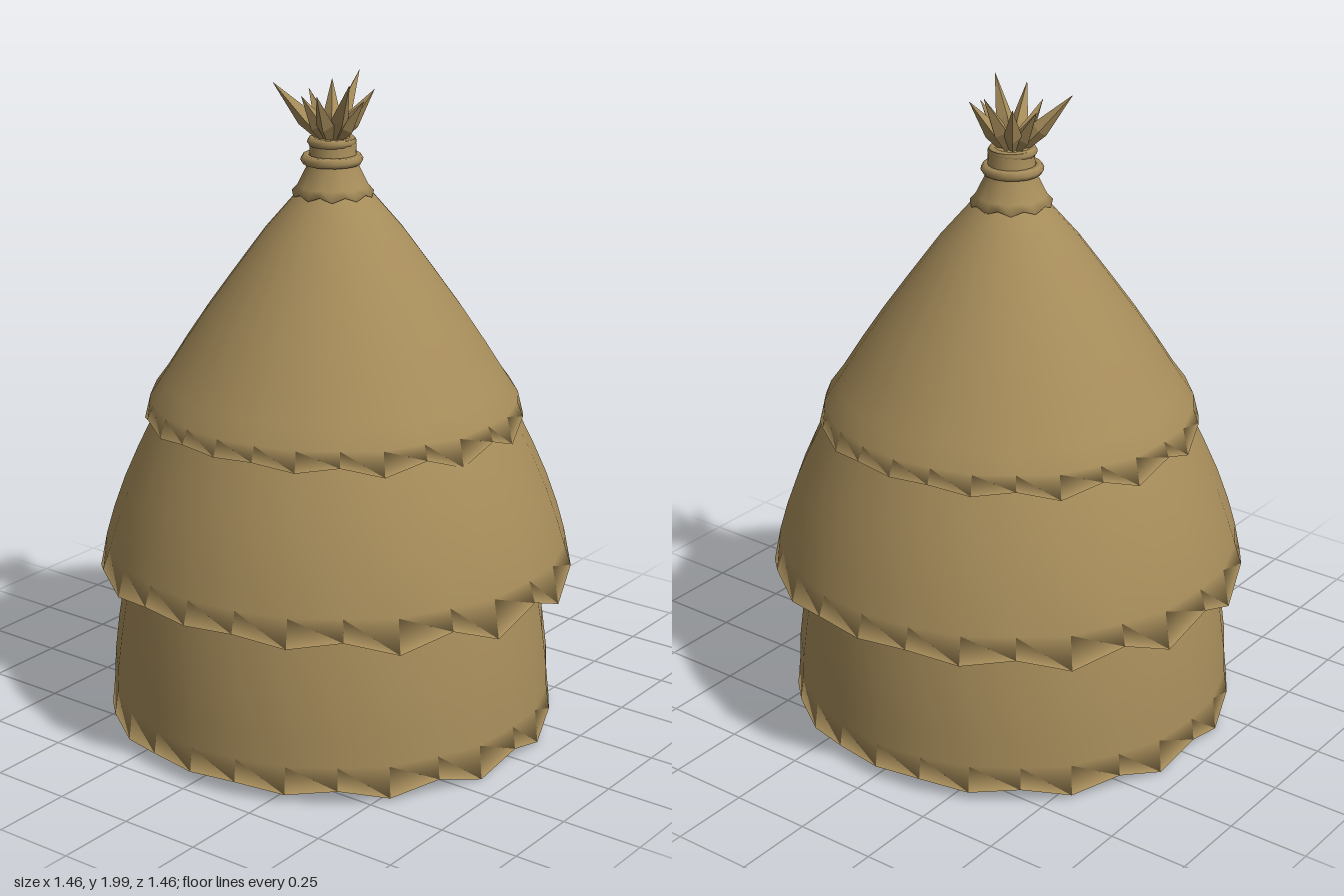
import * as THREE from 'three';

const straw = new THREE.MeshStandardMaterial({ color: 0xa68c5a });
straw.name = 'straw';

// Joins rings of [radius, height, toothDepth] from the top of the outside downwards,
// sharing corners so the surface shades smoothly. Odd corners hang lower as teeth.
function loft(profile, sides, depthAt = () => 1) {
  const pos = [], idx = [];
  for (const [r, y, tooth = 0] of profile) {
    for (let j = 0; j < sides; j++) {
      const a = (j / sides) * Math.PI * 2;
      const drop = j % 2 ? tooth * depthAt(a) : 0;
      pos.push(r * Math.cos(a), y - drop, r * Math.sin(a));
    }
  }
  for (let i = 0; i < profile.length - 1; i++) {
    for (let j = 0; j < sides; j++) {
      const k = (j + 1) % sides;
      const a = i * sides + j, b = i * sides + k, c = a + sides, d = b + sides;
      idx.push(a, b, c, b, d, c);
    }
  }
  const g = new THREE.BufferGeometry();
  g.setAttribute('position', new THREE.Float32BufferAttribute(pos, 3));
  g.setIndex(idx);
  g.computeVertexNormals();
  return g;
}

export function createModel() {
  const model = new THREE.Group();
  model.name = 'thatchedHut';
  const add = (name, geometry, x = 0, y = 0, z = 0, parent = model) => {
    const m = new THREE.Mesh(geometry, straw);
    m.name = name;
    m.position.set(x, y, z);
    parent.add(m);
    return m;
  };

  // Thatch tiers: teeth are deepest at the two sides, almost flat front and back.
  // Each goes down the outside, round a soft lip and back up the inside.
  const ragged = a => 0.15 + 0.85 * Math.abs(Math.cos(a)) ** 1.5;
  const tier = (name, outside, lip, inside, x, z) =>
    add(name, loft([...outside, lip, ...inside], 28, ragged), x, 0, z);
  tier('lowerThatch',
    [[0.53, 0.8], [0.60, 0.62], [0.632, 0.5], [0.661, 0.32], [0.676, 0.2], [0.68, 0.12, 0.008]],
    [0.69, 0.05, 0.045],
    [[0.65, 0.14, 0.01], [0.64, 0.24], [0.60, 0.5]], -0.005, 0.02);
  tier('middleThatch',
    [[0.41, 1.2], [0.50, 1.07], [0.55, 0.98], [0.604, 0.87], [0.648, 0.77], [0.684, 0.67],
      [0.709, 0.59, 0.01]],
    [0.73, 0.525, 0.065],
    [[0.68, 0.62, 0.01], [0.655, 0.68], [0.52, 0.76]], -0.005, -0.005);
  tier('upperThatch',
    [[0.08, 1.69], [0.12, 1.645], [0.21, 1.54], [0.312, 1.4], [0.387, 1.295], [0.457, 1.19],
      [0.52, 1.09], [0.56, 1.035, 0.008]],
    [0.578, 0.99, 0.048],
    [[0.53, 1.07, 0.01], [0.5, 1.11], [0.39, 1.18]], -0.015, -0.01);

  // Floor with a slightly flared edge meeting the thatch
  add('floor', loft([[0.64, 0.1], [0.612, 0.05], [0.6, 0.02], [0.0005, 0.02]], 28), -0.005, 0, 0.01);

  // Neck with a scalloped hem
  add('neck', loft([[0.068, 1.82], [0.07, 1.77], [0.08, 1.73], [0.105, 1.68, 0.004],
    [0.122, 1.662, 0.014], [0.1, 1.658, 0.01]], 20), -0.016, 0, -0.004);

  // Binding rings round the neck
  const rings = new THREE.Group();
  rings.name = 'bindings';
  model.add(rings);
  for (const [r, tube, y] of [[0.078, 0.016, 1.757], [0.06, 0.014, 1.81]]) {
    const g = new THREE.TorusGeometry(r, tube, 6, 16).rotateX(Math.PI / 2);
    add('binding', g, -0.017, y, 0, rings);
  }
  const cap = add('neckTop', new THREE.CircleGeometry(0.066, 16), -0.017, 1.82, 0);
  cap.rotation.x = -Math.PI / 2;

  // Tuft of ridged straw leaves fanning out from the neck
  const tuft = new THREE.Group();
  tuft.name = 'tuft';
  model.add(tuft);
  const base = new THREE.Vector3(-0.018, 1.79, 0);
  const tips = [[-0.02, 2.0, -0.14], [0.075, 1.96, -0.085], [0.1, 1.94, 0.0],
    [0.11, 2.0, 0.085], [0.04, 1.97, 0.148], [-0.06, 1.95, 0.09], [-0.165, 1.98, 0.09],
    [-0.125, 1.95, -0.03], [-0.095, 1.97, -0.105]];
  for (const tip of tips) {
    const d = new THREE.Vector3(...tip).sub(base);
    const len = d.length();
    const leaf = loft([[0.0005, len], [0.027, len * 0.45], [0.01, 0]], 4).toNonIndexed();
    leaf.computeVertexNormals();
    const m = add('leaf', leaf, base.x, base.y, base.z, tuft);
    m.rotation.set(0, -Math.atan2(d.z, d.x), -Math.acos(d.y / len), 'YZX');
  }
  return model;
}
